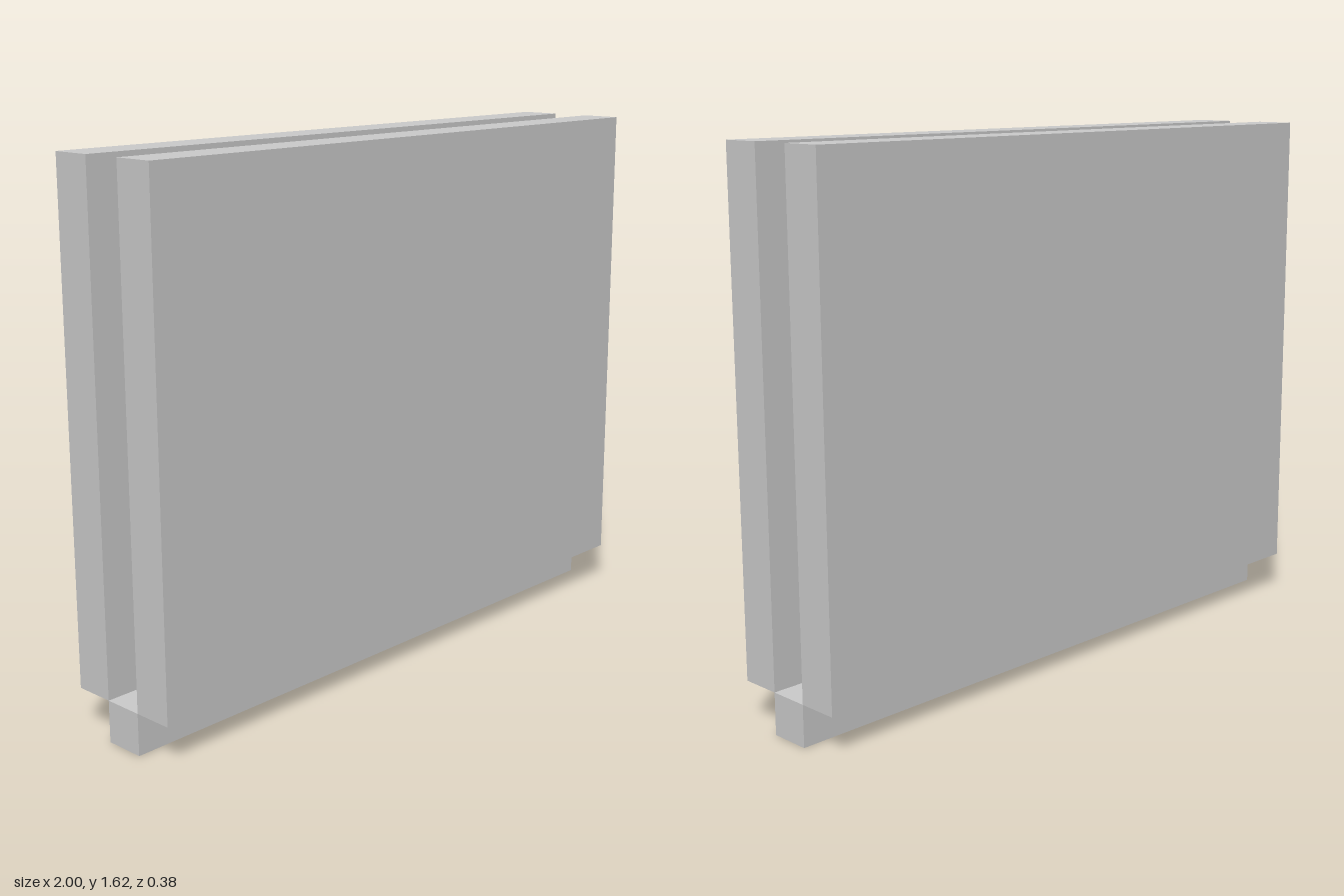
import * as THREE from 'three';

export function createModel() {
  const group = new THREE.Group();
  const material = new THREE.MeshStandardMaterial({ color: 0xcccccc, flatShading: true });
  const T = 0.125; // common board thickness

  // Adds a board that stands on y = bottom, centred on x = 0
  function addBoard(name, width, height, bottom, z) {
    const mesh = new THREE.Mesh(new THREE.BoxGeometry(width, height, T), material);
    mesh.name = name;
    mesh.position.set(0, bottom + height / 2, z);
    group.add(mesh);
  }

  // Outer panels
  addBoard('frontPanel', 2, 1.5, T, T);
  addBoard('backPanel', 2, 1.5, T, -T);

  // Inset core between the panels, leaving a groove all round
  addBoard('core', 1.75, 1.25, 2 * T, 0);

  // Rail under the groove
  addBoard('bottomRail', 2, T, 0, 0);

  return group;
}
